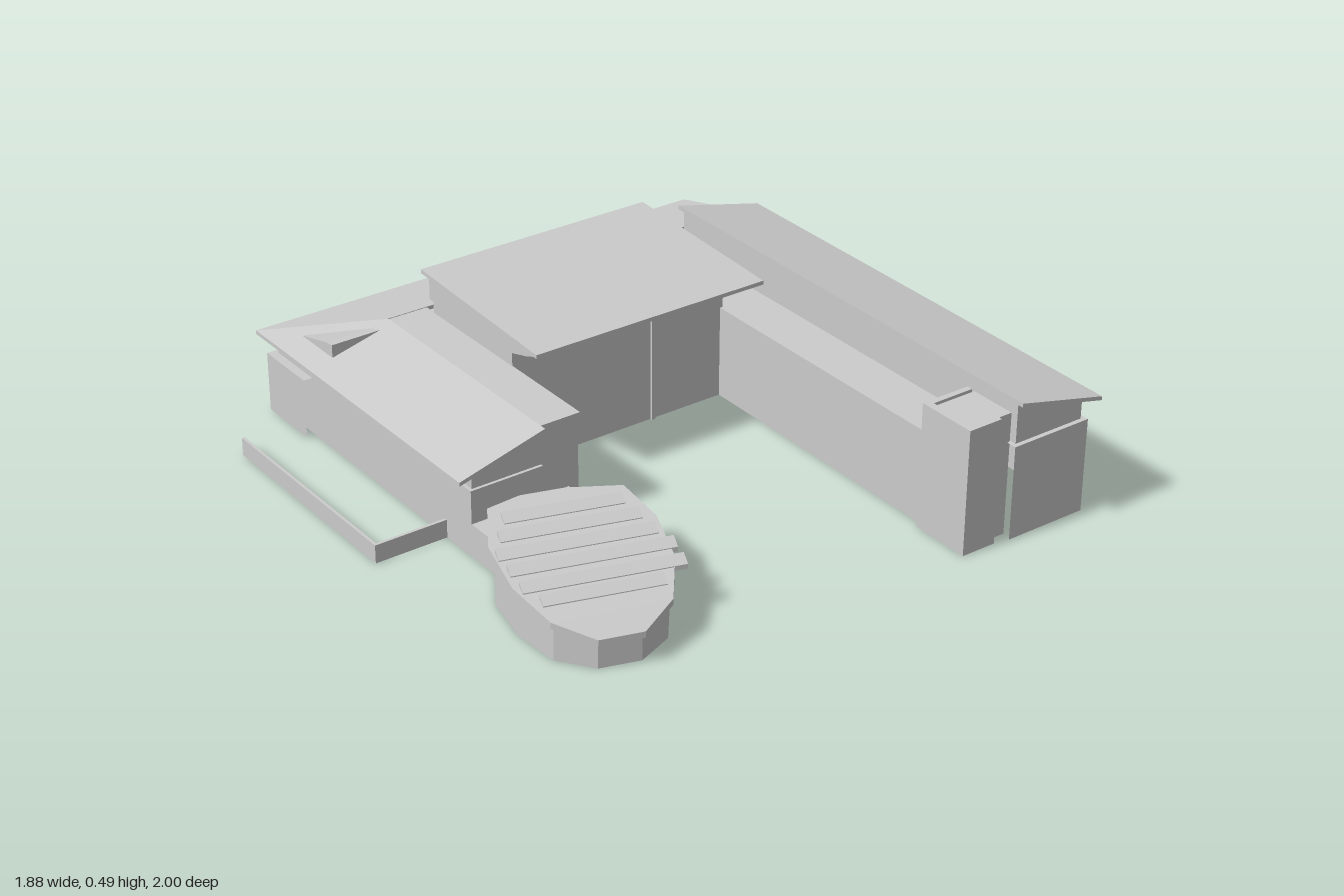
import * as THREE from 'three';

const material = new THREE.MeshStandardMaterial({ color: 0xcccccc, flatShading: true, side: THREE.DoubleSide });

export function createModel() {
  const model = new THREE.Group();

  const add = (name, geometry) => {
    const mesh = new THREE.Mesh(geometry, material);
    mesh.name = name;
    model.add(mesh);
    return mesh;
  };

  // Box given by its limits; faces named in "open" are left out
  const faceOrder = ['px', 'nx', 'py', 'ny', 'pz', 'nz'];
  const block = (name, [x0, x1], [y0, y1], [z0, z1], open = []) => {
    const g = new THREE.BoxGeometry(x1 - x0, y1 - y0, z1 - z0);
    g.translate((x0 + x1) / 2, (y0 + y1) / 2, (z0 + z1) / 2);
    const index = Array.from(g.index.array);
    g.setIndex(index.filter((_, i) => !open.includes(faceOrder[Math.floor(i / 6)])));
    g.clearGroups();
    return add(name, g);
  };

  const extrude = (points, depth) => new THREE.ExtrudeGeometry(
    new THREE.Shape(points.map(([a, b]) => new THREE.Vector2(a, b))), { depth, bevelEnabled: false });

  // Profile (x, y) swept along z, and profile (z, y) swept along x
  const alongZ = (name, points, z0, z1) => add(name, extrude(points, z1 - z0).translate(0, 0, z0));
  const alongX = (name, points, x0, x1) =>
    add(name, extrude(points, x1 - x0).rotateY(-Math.PI / 2).translate(x1, 0, 0));

  // Sloping roof plate from four top corners, counter-clockwise from above
  const plate = (name, corners, t) => {
    const pos = [...corners, ...corners.map(([x, y, z]) => [x, y - t, z])].flat();
    const index = [0, 1, 2, 0, 2, 3, 4, 6, 5, 4, 7, 6];
    for (let i = 0; i < 4; i++) {
      const j = (i + 1) % 4;
      index.push(i, i + 4, j, j, i + 4, j + 4);
    }
    const g = new THREE.BufferGeometry();
    g.setAttribute('position', new THREE.Float32BufferAttribute(pos, 3));
    g.setIndex(index);
    const flat = g.toNonIndexed();
    flat.computeVertexNormals();
    return add(name, flat);
  };

  // East wing: walls, clerestory, single-pitch roof
  block('eastWingWalls', [0.62, 0.905], [0, 0.31], [-0.66, 0.98], ['ny', 'nx', 'nz']);
  alongZ('eastClerestory', [[0.635, 0.31], [0.89, 0.31], [0.89, 0.382], [0.635, 0.445]], -0.63, 0.965);
  plate('eastRoof', [[0.62, 0.462, -0.64], [0.62, 0.462, 1], [0.935, 0.385, 1], [0.94, 0.385, -0.635]], 0.013);
  block('eastCorridor', [0.47, 0.62], [0, 0.31], [-0.7, 0.78], ['ny', 'px', 'nz']);

  // Entry tower: a core wrapped by three screen walls
  block('towerCore', [0.48, 0.63], [0, 0.405], [0.785, 0.945], ['ny']);
  block('towerSideScreen', [0.45, 0.475], [0, 0.415], [0.765, 0.97]);
  block('towerFrontScreen', [0.475, 0.57], [0, 0.415], [0.945, 0.97]);
  block('towerBackScreen', [0.475, 0.62], [0, 0.415], [0.765, 0.785]);

  // Back and west wings with a hipped corner
  block('backWingWalls', [-0.7, 0.9], [0, 0.22], [-0.955, -0.66], ['ny', 'pz']);
  alongX('backClerestory', [[-0.94, 0.22], [-0.67, 0.22], [-0.67, 0.338], [-0.7, 0.335], [-0.94, 0.272]], -0.67, 0.88);
  block('westWingWalls', [-0.7, -0.45], [0, 0.22], [-0.68, 0.14], ['ny', 'px', 'nz']);
  alongZ('westClerestory', [[-0.69, 0.22], [-0.45, 0.22], [-0.45, 0.335], [-0.69, 0.272]], -0.7, 0.13);
  plate('westRoof', [[-0.75, 0.275, -1], [-0.75, 0.275, 0.16], [-0.45, 0.35, 0.155], [-0.45, 0.35, -0.7]], 0.013);
  plate('backRoof', [[-0.75, 0.275, -1], [-0.45, 0.35, -0.7], [0.905, 0.35, -0.69], [0.905, 0.275, -0.99]], 0.013);
  block('westCorridor', [-0.45, -0.315], [0, 0.335], [-0.69, 0.125], ['ny', 'nx', 'nz']);
  block('westCorridorLid', [-0.455, -0.31], [0.335, 0.348], [-0.7, 0.13]);

  // Projecting bays with low doors
  block('eastBay', [0.88, 0.92], [0, 0.2], [-0.78, -0.23], ['ny', 'nx']);
  block('eastBayDoor', [0.915, 0.925], [0, 0.08], [-0.49, -0.26]);
  block('backBay', [-0.73, -0.17], [0, 0.2], [-0.975, -0.75], ['ny', 'pz']);
  block('backBayDoor', [-0.43, -0.2], [0, 0.08], [-0.98, -0.97]);

  // Central hall under a wing-shaped roof
  block('hallWalls', [-0.312, 0.48], [0, 0.4], [-0.655, -0.22], ['ny']);
  alongX('hallCurvedSoffit',
    [[-0.06, 0.452], [-0.12, 0.428], [-0.19, 0.408], [-0.26, 0.398], [-0.655, 0.398], [-0.655, 0.478]], -0.325, 0.5);
  plate('hallRoof', [[-0.335, 0.492, -0.685], [-0.335, 0.463, -0.055], [0.505, 0.463, -0.05], [0.505, 0.492, -0.68]], 0.013);
  block('hallMullion', [0.2, 0.215], [0, 0.4], [-0.22, -0.212]);

  // Garden wall
  block('gardenWallSide', [-0.945, -0.935], [0, 0.06], [-0.77, 0]);
  block('gardenWallEnd', [-0.945, -0.7], [0, 0.06], [-0.005, 0.005]);

  // Link to the pavilion
  block('pavilionLink', [-0.7, -0.35], [0, 0.11], [0.12, 0.36], ['ny', 'nz', 'pz']);

  // Pavilion: many-sided plan, roof falling toward the front with a steeper tip
  const plan = [[-0.83, 0.73], [-0.84, 0.56], [-0.8, 0.38], [-0.71, 0.24], [-0.6, 0.24], [-0.47, 0.28],
    [-0.32, 0.36], [-0.32, 0.52], [-0.38, 0.69], [-0.49, 0.83], [-0.62, 0.88], [-0.75, 0.84]];
  const angle = 0.3;
  const roofY = (x, z) => {
    const d = -Math.sin(angle) * x + Math.cos(angle) * z;
    return 0.215 - 0.16 * (d - 0.44) - 0.2 * Math.max(0, d - 0.94);
  };
  const slopedSlab = (name, points, t) => {
    const g = extrude(points, t).rotateX(Math.PI / 2);
    const p = g.attributes.position;
    for (let i = 0; i < p.count; i++) p.setY(i, p.getY(i) + roofY(p.getX(i), p.getZ(i)));
    g.computeVertexNormals();
    add(name, g);
  };
  slopedSlab('pavilionRoof', plan.slice(0, 10), 0.02);
  slopedSlab('pavilionRoofTip', [plan[9], plan[10], plan[11], plan[0]], 0.02);

  // Pavilion wall, set in slightly from the roof edge
  const wall = [], wallIndex = [];
  plan.forEach(([px, pz], i) => {
    const x = -0.58 + (px + 0.58) * 0.94, z = 0.56 + (pz - 0.56) * 0.94;
    wall.push(x, 0, z, x, roofY(x, z) - 0.015, z);
    const a = 2 * i, b = 2 * ((i + 1) % plan.length);
    wallIndex.push(a, b + 1, b, a, a + 1, b + 1);
  });
  const wallGeometry = new THREE.BufferGeometry();
  wallGeometry.setAttribute('position', new THREE.Float32BufferAttribute(wall, 3));
  wallGeometry.setIndex(wallIndex.reverse());
  const flatWall = wallGeometry.toNonIndexed();
  flatWall.computeVertexNormals();
  add('pavilionWall', flatWall);

  // Sawtooth skylights: centre x, centre z, length
  [[-0.53, 0.36, 0.36], [-0.555, 0.43, 0.42], [-0.58, 0.5, 0.47], [-0.58, 0.575, 0.49], [-0.595, 0.65, 0.48],
    [-0.635, 0.705, 0.36]].forEach(([x, z, length]) => {
    const tooth = extrude([[-0.018, -0.015], [0.018, -0.015], [0.018, 0.0], [-0.018, 0.018]], length);
    tooth.rotateY(-Math.PI / 2).translate(length / 2, 0, 0);
    const mesh = add('pavilionSkylight', tooth);
    mesh.position.set(x, roofY(x, z), z);
    mesh.rotation.y = -angle;
  });

  return model;
}
